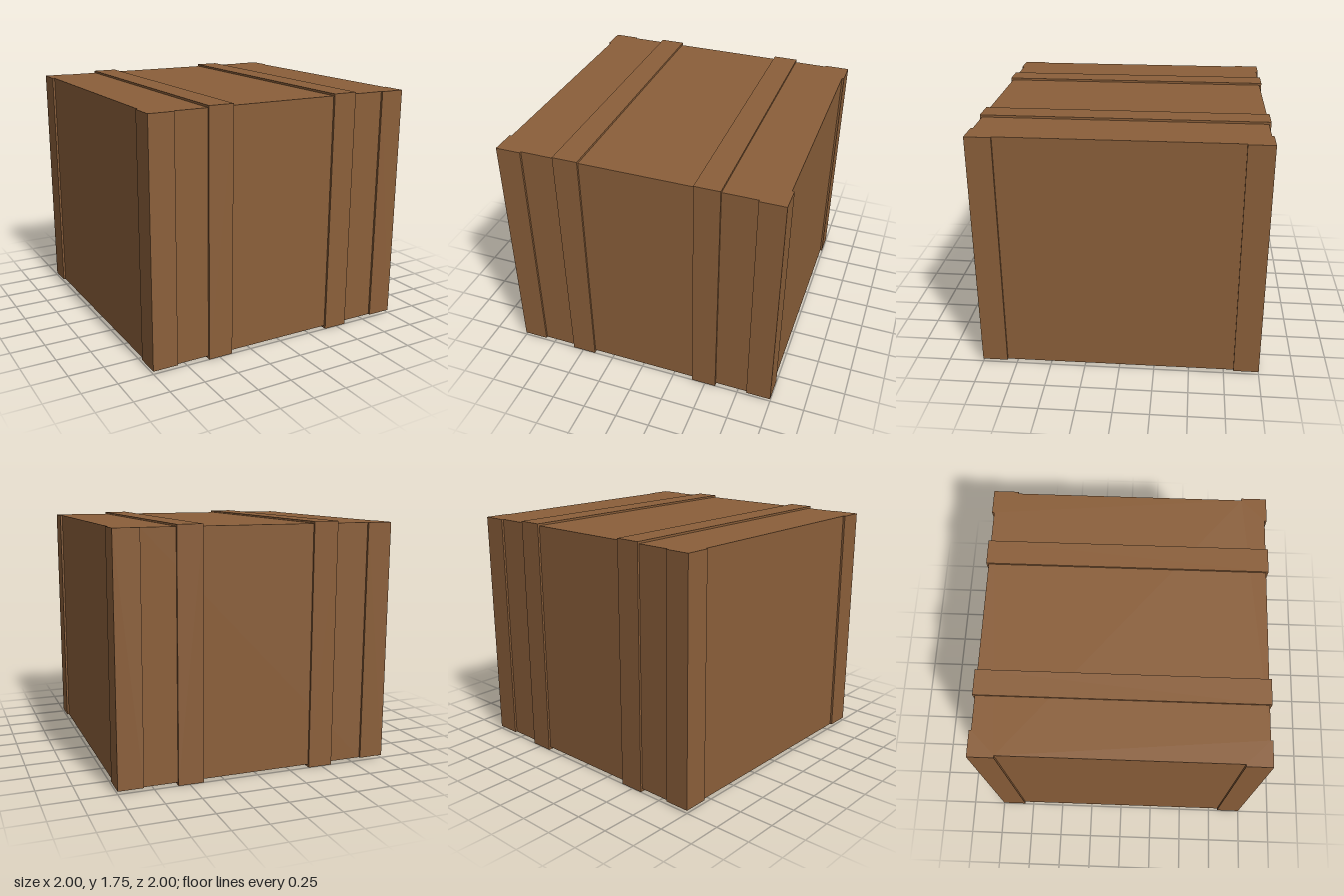
import * as THREE from 'three';

const HALF = 1;          // outer half width of posts and straps
const PANEL = 0.985;     // half width of the recessed side panels
const POST = 0.82;       // inner edge of the corner posts
const BOTTOM = 0.02, TOP = 1.735, HEIGHT = 1.75;

export function createModel() {
  const model = new THREE.Group();
  model.name = 'crate';
  const wood = new THREE.MeshStandardMaterial({ color: 0x8b5f3a, flatShading: true });

  // Crate body: a square plan with raised corner posts, extruded upwards
  const corner = [[HALF, POST], [HALF, HALF], [POST, HALF], [POST, PANEL], [-POST, PANEL]];
  const plan = [];
  for (let i = 0; i < 4; i++) {
    const turn = i * Math.PI / 2;
    const points = [[PANEL, POST], ...corner.slice(0, 4)];
    for (const [x, y] of points) {
      plan.push(new THREE.Vector2(x, y).rotateAround(new THREE.Vector2(), turn));
    }
  }
  const bodyGeometry = new THREE.ExtrudeGeometry(new THREE.Shape(plan), {
    depth: TOP - BOTTOM, bevelEnabled: false,
  });
  bodyGeometry.rotateX(-Math.PI / 2);
  const body = new THREE.Mesh(bodyGeometry, wood);
  body.name = 'crateBody';
  body.position.y = BOTTOM;
  model.add(body);

  // Two straps running round the front, top, back and bottom
  for (const side of [-1, 1]) {
    const strap = new THREE.Mesh(new THREE.BoxGeometry(0.18, HEIGHT, 2 * HALF), wood);
    strap.name = side > 0 ? 'leftStrap' : 'rightStrap';
    strap.position.set(side * 0.49, HEIGHT / 2, 0);
    model.add(strap);
  }

  return model;
}
